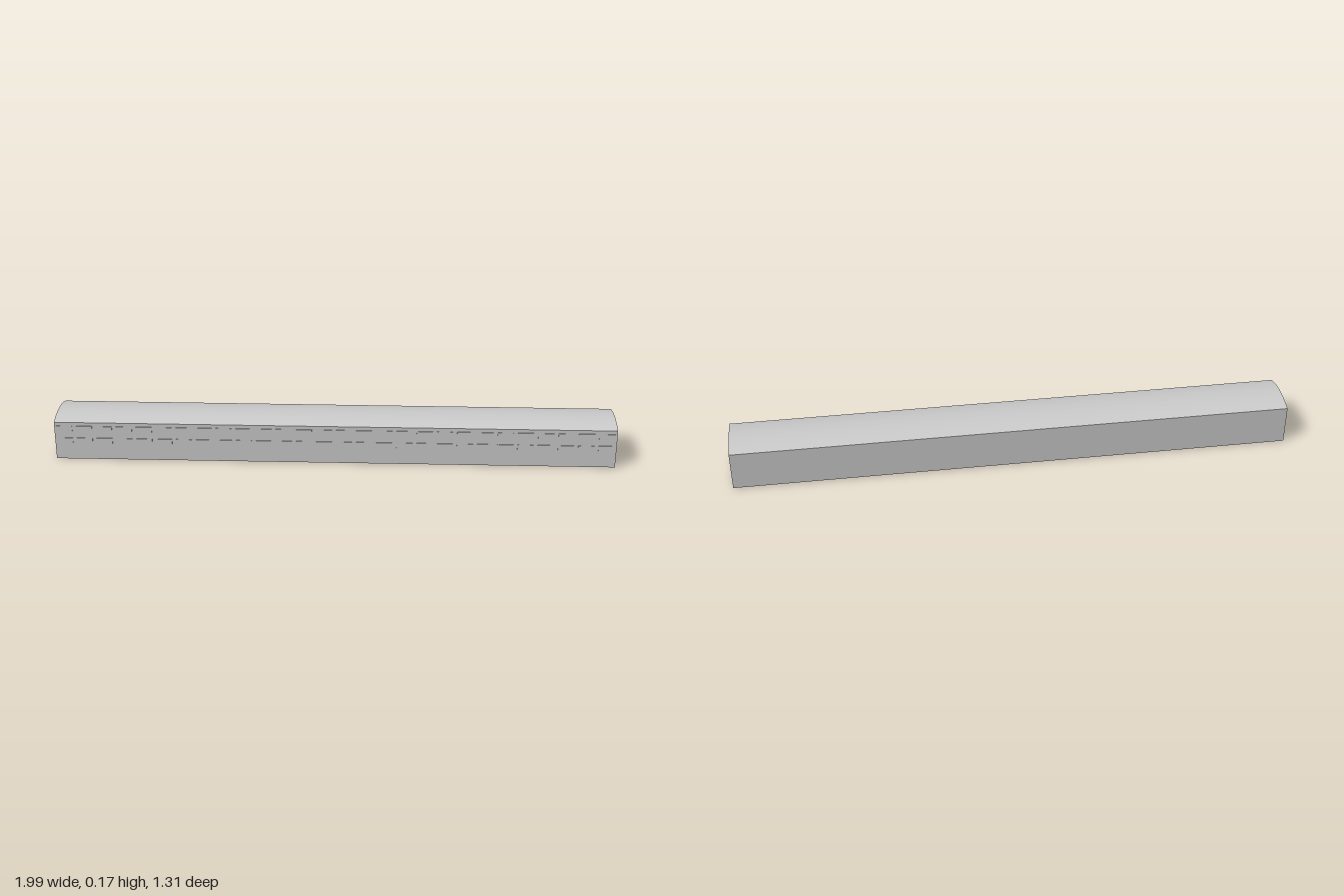
import * as THREE from 'three';
import { toCreasedNormals } from 'three/addons/utils/BufferGeometryUtils.js';

const LENGTH = 2.19, WIDTH = 0.214, EAVE = 0.155, RIDGE = 0.173;
const material = new THREE.MeshStandardMaterial({ color: 0xcccccc });

function addBox(parent, name, size, position) {
  const mesh = new THREE.Mesh(new THREE.BoxGeometry(...size), material);
  mesh.name = name;
  mesh.position.set(...position);
  parent.add(mesh);
}

// Long hall: straight walls under a shallow arched roof
function hall() {
  const half = WIDTH / 2, rise = RIDGE - EAVE;
  const radius = (half * half + rise * rise) / (2 * rise);
  const sweep = Math.asin(half / radius);
  const shape = new THREE.Shape();
  shape.moveTo(-half, 0);
  shape.lineTo(half, 0);
  shape.lineTo(half, EAVE);
  shape.absarc(0, RIDGE - radius, radius, Math.PI / 2 - sweep, Math.PI / 2 + sweep, false);
  shape.closePath();
  let geometry = new THREE.ExtrudeGeometry(shape, { depth: LENGTH, bevelEnabled: false, curveSegments: 16 });
  geometry.translate(0, 0, -LENGTH / 2);
  geometry.rotateY(Math.PI / 2);
  geometry = toCreasedNormals(geometry, 0.4);
  const mesh = new THREE.Mesh(geometry, material);
  mesh.name = 'hallWithArchedRoof';
  return mesh;
}

// Two rows of wide windows along the front
function frontWindows() {
  const group = new THREE.Group();
  group.name = 'frontWindows';
  const count = 28, pitch = LENGTH / count;
  for (const y of [0.08, 0.13]) {
    for (let i = 0; i < count; i++) {
      const x = (i - (count - 1) / 2) * pitch;
      addBox(group, 'window', [0.062, 0.021, 0.006], [x, y, WIDTH / 2]);
    }
  }
  return group;
}

// Left end: small windows on each floor around a tall stair window
function leftEnd() {
  const group = new THREE.Group();
  group.name = 'leftEndWindows';
  const x = -LENGTH / 2;
  for (const z of [-0.08, -0.045, 0.045, 0.08]) {
    for (const y of [0.035, 0.065, 0.095, 0.125]) {
      addBox(group, 'window', [0.005, 0.014, 0.022], [x, y, z]);
    }
  }
  addBox(group, 'stairWindow', [0.005, 0.13, 0.03], [x, 0.08, 0]);
  return group;
}

// Right end: slim full-height strips
function rightEnd() {
  const group = new THREE.Group();
  group.name = 'rightEndStrips';
  for (const z of [0.03, 0, -0.023, -0.047]) {
    addBox(group, 'strip', [0.005, 0.142, 0.006], [LENGTH / 2, 0.076, z]);
  }
  return group;
}

export function createModel() {
  const model = new THREE.Group();
  const building = new THREE.Group();
  building.name = 'building';
  building.add(hall(), frontWindows(), leftEnd(), rightEnd());
  building.rotation.y = 0.538; // stands diagonally on the plot
  model.add(building);
  return model;
}
